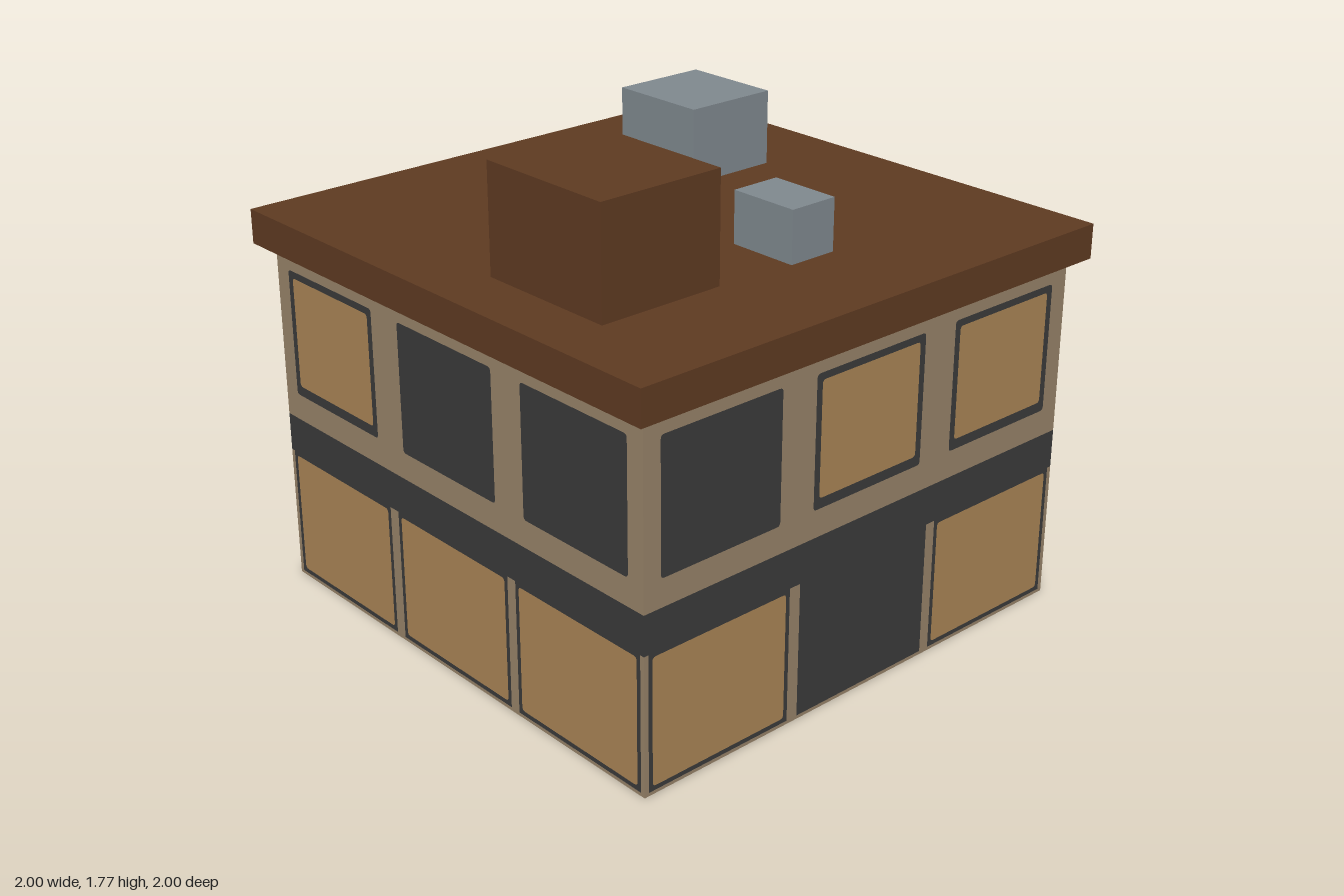
import * as THREE from 'three';

const paint = (name, color, side = THREE.FrontSide) =>
  Object.assign(new THREE.MeshStandardMaterial({ color, side }), { name });

// Rectangle outline with slightly rounded corners
function rect(x0, y0, x1, y1, r = 0, Type = THREE.Shape) {
  const s = new Type();
  if (!r) {
    s.moveTo(x0, y0).lineTo(x1, y0).lineTo(x1, y1).lineTo(x0, y1).closePath();
    return s;
  }
  s.moveTo(x0 + r, y0).lineTo(x1 - r, y0).quadraticCurveTo(x1, y0, x1, y0 + r);
  s.lineTo(x1, y1 - r).quadraticCurveTo(x1, y1, x1 - r, y1);
  s.lineTo(x0 + r, y1).quadraticCurveTo(x0, y1, x0, y1 - r);
  s.lineTo(x0, y0 + r).quadraticCurveTo(x0, y0, x0 + r, y0);
  return s;
}

export function createModel() {
  const model = new THREE.Group();
  model.name = 'building';
  const stone = paint('stone', 0x968268, THREE.DoubleSide);
  const dark = paint('darkTrim', 0x3a3a3a, THREE.DoubleSide);
  const amber = paint('litGlass', 0xa98455, THREE.DoubleSide);
  const brown = paint('roofBrown', 0x5e3a21);
  const grey = paint('metalGrey', 0x7f888e);

  const H = 0.945, R = 0.014; // half width of the walls, corner radius
  const BASE = 0.012, SILL = 0.495, BAND = 0.635, EAVE = 1.27;
  const upperBays = [[-0.878, -0.39], [-0.245, 0.245], [0.388, 0.876]];
  const lowerBays = [[-0.928, -0.34], [-0.295, 0.295], [0.335, 0.928]];

  // One facade, flat in its own x-y plane; flags mark the lit bays
  function facade(name, litUpper, litLower) {
    const wall = new THREE.Group();
    wall.name = name;
    const add = (part, shapes, material) => {
      const mesh = new THREE.Mesh(new THREE.ShapeGeometry(shapes, 4), material);
      mesh.name = part;
      wall.add(mesh);
    };
    const upper = rect(-H, BAND, H, EAVE);
    const frames = [rect(-H, SILL, H, BAND)];
    const panes = [];

    // Upper windows
    upperBays.forEach(([a, b], i) => {
      upper.holes.push(rect(a, 0.732, b, 1.195, R, THREE.Path));
      const frame = rect(a, 0.732, b, 1.195, R);
      if (litUpper[i]) {
        const pane = [a + 0.024, 0.768, b - 0.024, 1.17, R];
        frame.holes.push(rect(...pane, THREE.Path));
        panes.push(rect(...pane));
      }
      frames.push(frame);
    });

    // Shop windows and doorway
    lowerBays.forEach(([a, b], i) => {
      const frame = rect(a, BASE, b, SILL);
      if (litLower[i]) {
        const pane = [a + 0.016, 0.028, b - 0.016, 0.481, R];
        frame.holes.push(rect(...pane, THREE.Path));
        panes.push(rect(...pane));
      }
      frames.push(frame);
    });

    // Pillars between the lower bays, and the plinth
    const edges = [-H, ...lowerBays.flat(), H];
    const pillars = [rect(-H, 0, H, BASE)];
    for (let i = 0; i < edges.length; i += 2) {
      pillars.push(rect(edges[i], BASE, edges[i + 1], SILL));
    }
    add('upperWall', upper, stone);
    add('pillars', pillars, stone);
    add('framesAndBand', frames, dark);
    add('litPanes', panes, amber);
    return wall;
  }

  // Four walls: opposite sides match
  ['front', 'left', 'back', 'right'].forEach((side, i) => {
    const wall = i % 2
      ? facade(side + 'Wall', [1, 0, 0], [1, 1, 1])
      : facade(side + 'Wall', [0, 1, 1], [1, 0, 1]);
    const angle = i * Math.PI / 2;
    wall.rotation.y = angle;
    wall.position.set(Math.sin(angle) * H, 0, Math.cos(angle) * H);
    model.add(wall);
  });

  // Roof slab and the blocks standing on it
  function block(name, material, x0, x1, y0, y1, z0, z1) {
    const mesh = new THREE.Mesh(new THREE.BoxGeometry(x1 - x0, y1 - y0, z1 - z0), material);
    mesh.position.set((x0 + x1) / 2, (y0 + y1) / 2, (z0 + z1) / 2);
    mesh.name = name;
    model.add(mesh);
  }
  const TOP = 1.393;
  block('roofSlab', brown, -1, 1, EAVE, TOP, -1, 1);
  block('stairHouse', brown, -0.787, -0.314, TOP, 1.774, 0.053, 0.586);
  block('largeVent', grey, 0.294, 0.653, TOP, 1.662, -0.571, -0.193);
  block('smallVent', grey, -0.021, 0.166, TOP, 1.577, 0.342, 0.605);
  return model;
}
